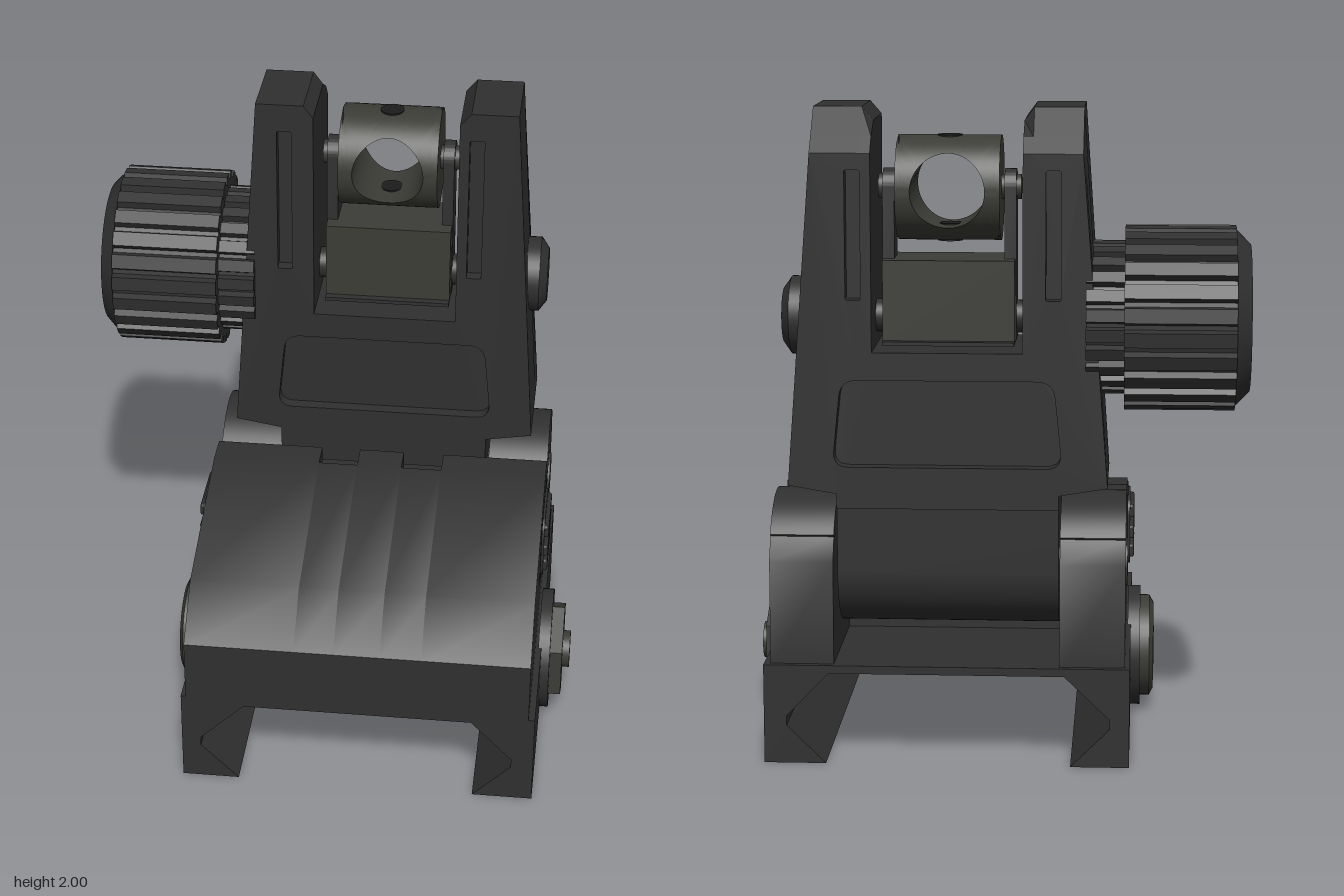
import * as THREE from 'three';
import { toCreasedNormals } from 'three/addons/utils/BufferGeometryUtils.js';
import { RoundedBoxGeometry } from 'three/addons/geometries/RoundedBoxGeometry.js';

const mat = (color, side = THREE.FrontSide) => new THREE.MeshStandardMaterial({ color, side });
const CX = 0.128; // middle of the housing
const PZ = -0.355; // depth of the hinge and windage axes

const poly = (pts) => new THREE.Shape(pts.map(([x, y]) => new THREE.Vector2(x, y)));

// Closed outline with rounded corners
function rounded(pts, r, C = THREE.Path) {
  const p = new C(), v = pts.map(([x, y]) => new THREE.Vector2(x, y));
  v.forEach((b, i) => {
    const a = v[(i + v.length - 1) % v.length], c = v[(i + 1) % v.length];
    const s = b.clone().add(a.clone().sub(b).setLength(r));
    const e = b.clone().add(c.clone().sub(b).setLength(r));
    if (i) p.lineTo(s.x, s.y); else p.moveTo(s.x, s.y);
    p.quadraticCurveTo(b.x, b.y, e.x, e.y);
  });
  p.closePath();
  return p;
}

// Front outline extruded from z0 to z1
function slabZ(shape, z0, z1) {
  const g = new THREE.ExtrudeGeometry(shape, { depth: z1 - z0, bevelEnabled: false, curveSegments: 8 });
  return g.translate(0, 0, z0);
}

// Side outline, drawn in (-z, y), extruded from x0 to x1
function slabX(shape, x0, x1) {
  const g = new THREE.ExtrudeGeometry(shape, { depth: x1 - x0, bevelEnabled: false, curveSegments: 24 });
  return toCreasedNormals(g.translate(0, 0, x0).rotateY(Math.PI / 2), 0.5);
}

// Round part along x
function rodX(x0, x1, r0, r1, y, z, n = 40) {
  const g = new THREE.CylinderGeometry(r1, r0, x1 - x0, n);
  if (n === 6) g.rotateY(Math.PI / 6);
  return (n === 6 ? toCreasedNormals(g, 0.5) : g).rotateZ(-Math.PI / 2).translate((x0 + x1) / 2, y, z);
}

// Ribbed outline for the knob
function gear(r, depth, n) {
  const pts = [];
  for (let i = 0; i < n; i++) {
    [[0, r - depth], [0.2, r - depth], [0.3, r], [0.9, r]].forEach(([f, q]) => {
      const a = ((i + f) / n) * Math.PI * 2;
      pts.push([Math.cos(a) * q, Math.sin(a) * q]);
    });
  }
  return poly(pts);
}

// Cylinder lying along x, pierced front to back by a round hole
function piercedDrum(r, half, hole) {
  const n = 96, m = 10, pos = [], idx = [];
  const rows = 2 * m + 3;
  for (let j = 0; j < rows; j++) {
    const front = j <= m, closing = j === rows - 1;
    const f = closing ? 0 : front ? j / m : 1 - (j - m - 1) / m;
    for (let i = 0; i <= n; i++) {
      const t = (i / n) * Math.PI * 2, c = Math.cos(t), s = Math.sin(t);
      const k = 1 / Math.max(Math.abs(c), Math.abs(s));
      const x = c * (hole + (half * k - hole) * f), y = s * (hole + (r * k - hole) * f);
      const z = Math.sqrt(Math.max(0, r * r - y * y));
      pos.push(x, y, front || closing ? z : -z);
    }
  }
  for (let j = 0; j < rows - 1; j++) {
    for (let i = 0; i < n; i++) {
      const a = j * (n + 1) + i, b = a + n + 1;
      idx.push(a, b, a + 1, b, b + 1, a + 1);
    }
  }
  const g = new THREE.BufferGeometry();
  g.setAttribute('position', new THREE.Float32BufferAttribute(pos, 3));
  g.setIndex(idx);
  return toCreasedNormals(g, 0.6);
}

export function createModel() {
  const root = new THREE.Group();
  const body = mat(0x303030), steel = mat(0x3c3c37), dark = mat(0x1c1c1c);
  const add = (name, geo, m = body) => {
    const mesh = new THREE.Mesh(geo, m);
    mesh.name = name;
    root.add(mesh);
    return mesh;
  };

  // Rail clamp
  add('railClamp', slabZ(poly([[-0.43, 0], [-0.25, 0], [-0.37, 0.12], [-0.37, 0.15], [-0.23, 0.285],
    [0.49, 0.285], [0.62, 0.15], [0.62, 0.12], [0.5, 0], [0.69, 0], [0.69, 0.31], [-0.43, 0.31]]), -0.6, 0.64));

  // Sloped front housing, with two small notches in its rear top edge
  const slope = [[-0.64, 0.3], [0.13, 0.3]], rise = [[0.02, 0.785], [-0.49, 0.65], [-0.64, 0.51]];
  const plain = poly([...slope, [0.13, 0.785], ...rise]);
  const notched = poly([...slope, [0.13, 0.74], [0.035, 0.74], [0.035, 0.785], ...rise]);
  [-0.415, -0.07, 0.055, 0.2, 0.33].forEach((x, i, xs) =>
    add('frontHousing', slabX(i % 2 ? notched : plain, x, xs[i + 1] ?? 0.67)));

  // Hinge ears and pin
  const ear = poly([[0.13, 0.3], [0.58, 0.3], [0.575, 0.63], [0.54, 0.7]]);
  ear.absarc(-PZ, 0.59, 0.222, 0.55, Math.PI - 0.35, false);
  ear.lineTo(0.13, 0.62);
  add('rightHingeEar', slabX(ear, -0.415, -0.215));
  add('leftHingeEar', slabX(ear, 0.475, 0.67));
  add('hingePin', rodX(-0.42, 0.677, 0.075, 0.075, 0.59, PZ), steel);

  // Hinge barrel under the upright
  const barrel = new THREE.Shape();
  barrel.moveTo(0.54, 0.85);
  barrel.lineTo(0.16, 0.85);
  barrel.lineTo(0.16, 0.59);
  barrel.absarc(0.35, 0.59, 0.19, Math.PI, Math.PI * 2, false);
  add('hingeBarrel', slabX(barrel, -0.21, 0.465));

  // Upright: layered slabs, recessed on both faces and chamfered at the rear top
  const upright = (slotTop) => {
    const s = poly([[-0.21, 0.79], [0.465, 0.79], [0.465, 0.835], [0.613, 0.86], [0.537, 2], [0.39, 2],
      [0.355, 1.96], [0.355, 1.27], [-0.1, 1.27], [-0.1, 1.96], [-0.13, 2], [-0.28, 2], [-0.358, 0.86], [-0.21, 0.835]]);
    if (slotTop) {
      s.holes.push(rounded([[-0.22, 0.918], [0.477, 0.918], [0.45, 1.185], [-0.193, 1.185]], 0.05));
      [-0.192, 0.41].forEach((x) => s.holes.push(
        rounded([[x - 0.023, 1.43], [x + 0.023, 1.43], [x + 0.023, slotTop], [x - 0.023, slotTop]], 0.006)));
    }
    return s;
  };
  [[0, -0.42, -0.2], [1.91, -0.2, -0.16], [0, -0.5, -0.42], [1.82, -0.545, -0.5]].forEach(([slot, z0, z1]) => {
    const g = slabZ(upright(slot), z0, z1), p = g.attributes.position;
    for (let i = 0; i < p.count; i++) {
      const z = p.getZ(i);
      if (z < -0.42) p.setY(i, Math.min(p.getY(i), 2 + (z + 0.42) * 1.04));
    }
    g.computeVertexNormals();
    add('upright', g);
  });

  // Windage screw, its domed left head and the ribbed knob on the right
  const WY = 1.357;
  add('windageScrew', rodX(-0.32, 0.6, 0.05, 0.05, WY, PZ));
  add('screwHead', rodX(0.56, 0.615, 0.12, 0.12, WY, PZ));
  add('screwHeadDome', rodX(0.615, 0.64, 0.12, 0.085, WY, PZ));
  const place = (g) => g.translate(0, WY, PZ);
  add('knobGrip', place(slabX(gear(0.283, 0.022, 24), -0.74, -0.405)));
  add('knobCollar', place(slabX(gear(0.235, 0.022, 24), -0.405, -0.29)));
  add('knobCap', rodX(-0.785, -0.74, 0.225, 0.272, WY, PZ));
  add('knobSlot', new THREE.BoxGeometry(0.004, 0.34, 0.025).translate(-0.786, WY, PZ), dark);

  // Aperture carrier with two fork arms
  add('carrierBlock', new THREE.BoxGeometry(0.4, 0.25, 0.21).translate(CX, 1.415, -0.36), steel);
  add('carrierBase', new THREE.BoxGeometry(0.4, 0.012, 0.26).translate(CX, 1.289, -0.36));
  for (const s of [-1, 1]) {
    const arm = new THREE.Shape();
    arm.moveTo(0.305, 1.29);
    arm.lineTo(0.415, 1.29);
    arm.absarc(0.36, 1.755, 0.055, 0, Math.PI, false);
    const x = CX + s * 0.185;
    add('forkArm', slabX(arm, x - 0.018, x + 0.018));
    add('forkPivot', rodX(x - 0.032, x + 0.032, 0.038, 0.038, 1.755, -0.36), steel);
  }

  // Rotating aperture drum
  const drum = new THREE.Group();
  drum.name = 'apertureDrum';
  drum.position.set(CX, 1.752, -0.36);
  const shell = new THREE.Mesh(piercedDrum(0.16, 0.157, 0.112), mat(0x3c3c37, THREE.DoubleSide));
  shell.name = 'drumShell';
  drum.add(shell);
  for (const s of [-1, 1]) {
    const cap = new THREE.Mesh(new THREE.CircleGeometry(0.16, 48), steel);
    cap.name = 'drumEnd';
    cap.rotation.y = (s * Math.PI) / 2;
    cap.position.x = s * 0.157;
    const bore = new THREE.Mesh(new THREE.CylinderGeometry(0.038, 0.038, 0.054, 24), dark);
    bore.name = 'smallAperture';
    bore.position.y = s * 0.134;
    drum.add(cap, bore);
  }
  root.add(drum);

  // Ribbed release buttons on both sides
  for (const [x, s] of [[-0.415, -1], [0.67, 1]]) {
    add('buttonFrame', new THREE.BoxGeometry(0.006, 0.24, 0.28).translate(x, 0.615, 0.025), dark);
    add('releaseButton', slabX(rounded([[-0.16, 0.51], [0.09, 0.51], [0.09, 0.73], [-0.16, 0.73]], 0.06, THREE.Shape),
      x - 0.01, x + 0.01));
    for (let i = 0; i < 3; i++) {
      add('buttonRib', new RoundedBoxGeometry(0.04, 0.042, i === 1 ? 0.24 : 0.21, 2, 0.008)
        .translate(x + s * 0.003, 0.555 + i * 0.065, 0.035));
    }
  }

  // Clamp bolt: washer and hex nut on the left, round head on the right
  const BY = 0.2, BZ = 0.095;
  add('clampWasher', rodX(0.68, 0.718, 0.195, 0.195, BY, BZ));
  add('clampNut', rodX(0.71, 0.757, 0.165, 0.165, BY, BZ, 6), steel);
  add('boltEnd', rodX(0.75, 0.78, 0.06, 0.06, BY, BZ), steel);
  add('boltSeat', rodX(-0.46, -0.42, 0.195, 0.195, BY, BZ));
  add('boltHead', rodX(-0.49, -0.455, 0.165, 0.165, BY, BZ), steel);
  add('boltHeadRim', rodX(-0.503, -0.49, 0.14, 0.165, BY, BZ), steel);
  add('boltSocket', rodX(-0.505, -0.5, 0.065, 0.065, BY, BZ, 6), dark);
  return root;
}
